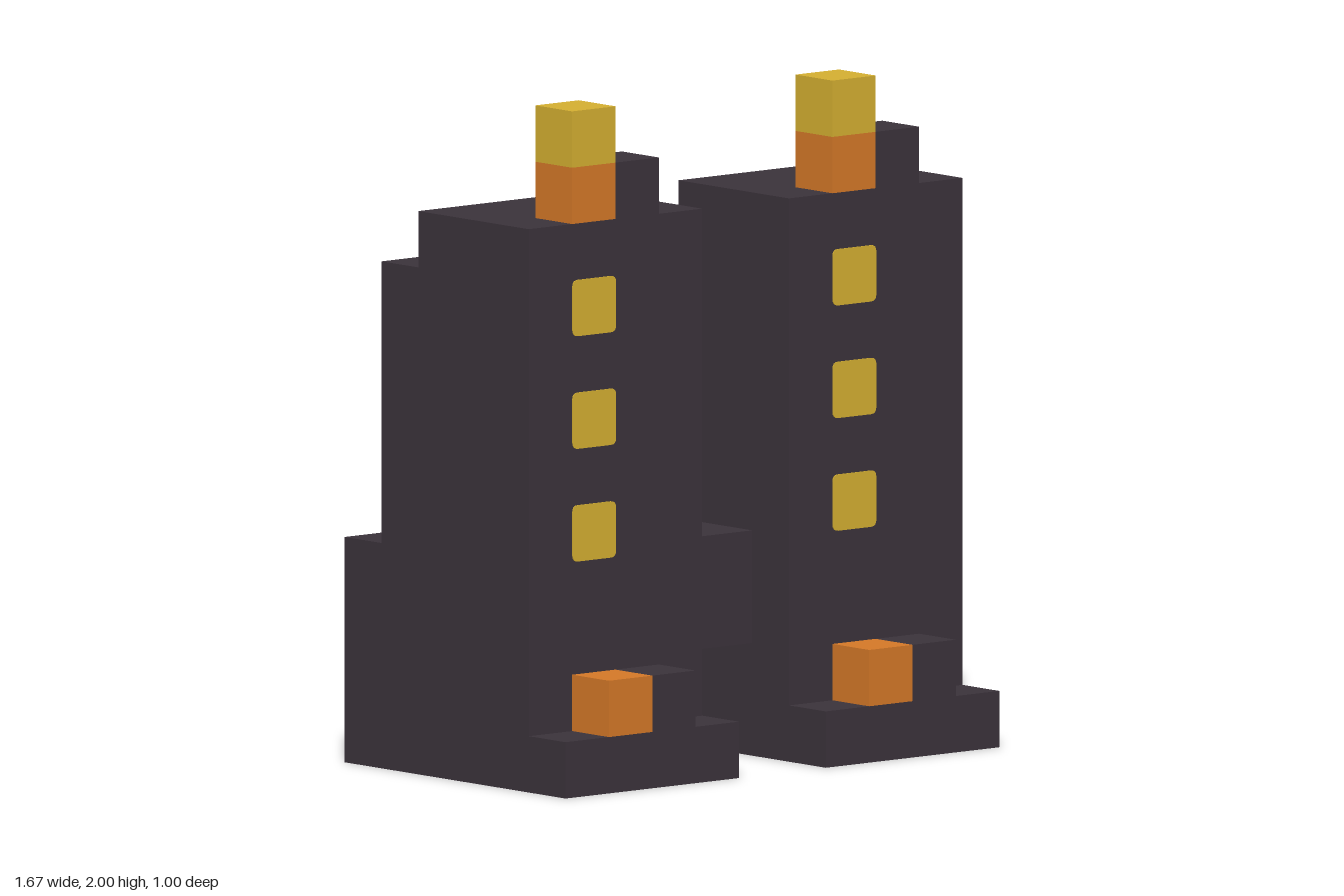
import * as THREE from 'three';

const U = 1 / 6; // building module

export function createModel() {
  const stone = new THREE.MeshStandardMaterial({ color: 0x3a323a });
  stone.name = 'dark stone';
  const gold = new THREE.MeshStandardMaterial({ color: 0xd2ad30 });
  gold.name = 'yellow light';
  const orange = new THREE.MeshStandardMaterial({ color: 0xd27727 });
  orange.name = 'orange';

  const mesh = (parent, name, geometry, material) => {
    const m = new THREE.Mesh(geometry, material);
    m.name = name;
    parent.add(m);
    return m;
  };

  // Box given by its low corner and size, in modules
  const block = (parent, name, material, [x, y, z], [w, h, d]) => {
    const m = mesh(parent, name, new THREE.BoxGeometry(w * U, h * U, d * U), material);
    m.position.set((x + w / 2) * U, (y + h / 2) * U, (z + d / 2) * U);
    return m;
  };

  // Stepped side profile (z, y) extruded across the tower width
  const profile = new THREE.Shape(
    [[-3, 0], [3, 0], [3, 1], [2, 1], [2, 10], [-1, 10], [-1, 9], [-2, 9], [-2, 4], [-3, 4]]
      .map(([z, y]) => new THREE.Vector2(z * U, y * U))
  );
  const bodyGeometry = new THREE.ExtrudeGeometry(profile, { depth: 4 * U, bevelEnabled: false });
  bodyGeometry.rotateY(-Math.PI / 2).translate(2 * U, 0, 0);

  // Window pane with small rounded corners
  const a = U / 2, r = 0.02;
  const pane = new THREE.Shape();
  pane.moveTo(-a + r, -a);
  pane.lineTo(a - r, -a).quadraticCurveTo(a, -a, a, -a + r);
  pane.lineTo(a, a - r).quadraticCurveTo(a, a, a - r, a);
  pane.lineTo(-a + r, a).quadraticCurveTo(-a, a, -a, a - r);
  pane.lineTo(-a, -a + r).quadraticCurveTo(-a, -a, -a + r, -a);
  const paneGeometry = new THREE.ExtrudeGeometry(pane, { depth: 0.003, bevelEnabled: false, curveSegments: 4 });

  const model = new THREE.Group();
  model.name = 'twinTowers';

  for (const [side, cx] of [['right', -3], ['left', 3]]) {
    const tower = new THREE.Group();
    tower.name = side + 'Tower';
    tower.position.x = cx * U;
    model.add(tower);

    mesh(tower, 'towerBody', bodyGeometry, stone);

    // Doorstep blocks on the front ledge
    block(tower, 'doorBlock', orange, [-1, 1, 2], [1, 1, 1]);
    block(tower, 'doorSideBlock', stone, [0, 1, 2], [1, 1, 1]);

    // Roof blocks and beacon
    block(tower, 'beaconBase', orange, [-1, 10, 1], [1, 1, 1]);
    block(tower, 'roofBlock', stone, [0, 10, 1], [1, 1, 1]);
    block(tower, 'beacon', gold, [-1, 11, 1], [1, 1, 1]);

    // Column of lit windows
    for (const y of [4.5, 6.5, 8.5]) {
      mesh(tower, 'window', paneGeometry, gold).position.set(-0.5 * U, y * U, 2 * U);
    }
  }

  // Bridge between the towers
  block(model, 'bridge', stone, [-1, 2, -1], [2, 2, 2]);

  return model;
}
